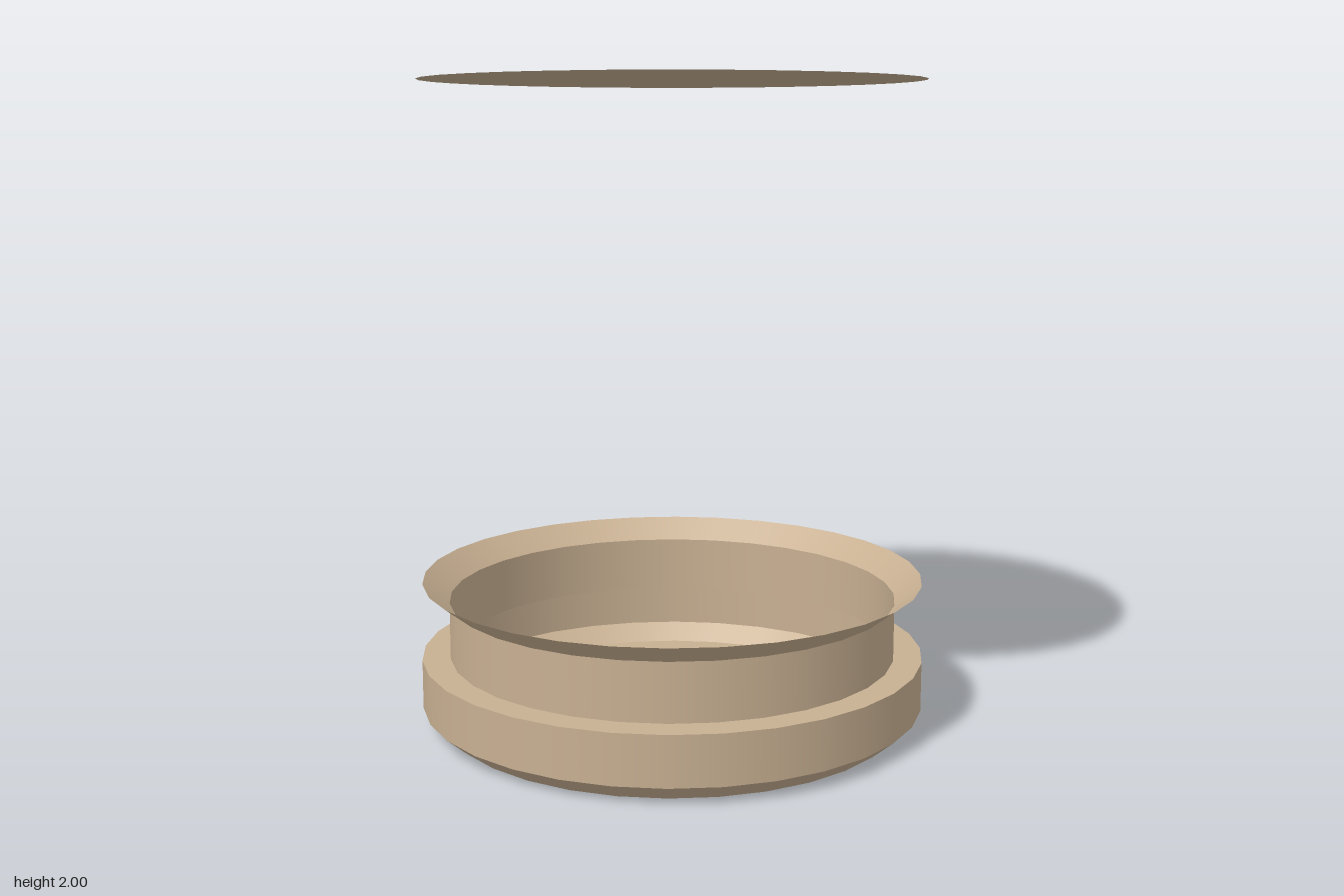
import * as THREE from 'three';

const SIDES = 32;

export function createModel() {
  const model = new THREE.Group();
  const tan = new THREE.MeshStandardMaterial({ color: 0xc8b092, side: THREE.DoubleSide });
  tan.name = 'tan';
  const grey = new THREE.MeshStandardMaterial({ color: 0x999a9c, side: THREE.DoubleSide });
  grey.name = 'grey';

  const add = (name, geometry, material, y = 0) => {
    const mesh = new THREE.Mesh(geometry, material);
    mesh.name = name;
    mesh.position.y = y;
    model.add(mesh);
    return mesh;
  };

  // Thin-walled dish: open bands, each smooth around and sharp at its rims
  const band = (name, r0, y0, r1, y1) =>
    add(name, new THREE.CylinderGeometry(r1, r0, y1 - y0, SIDES, 1, true), tan, (y0 + y1) / 2);
  band('bottomBevel', 0.73, 0, 0.795, 0.055);
  band('baseWall', 0.795, 0.055, 0.795, 0.21);
  band('neckWall', 0.707, 0.21, 0.707, 0.39);
  band('flaredRim', 0.707, 0.39, 0.79, 0.455);

  // Flat ring between base and neck
  add('ledge', new THREE.RingGeometry(0.707, 0.795, SIDES).rotateX(-Math.PI / 2), tan, 0.21);

  // Floor of the dish, just above the underside of the patch
  add('floor', new THREE.CircleGeometry(0.73, SIDES).rotateX(-Math.PI / 2), tan, 0.002);

  // Irregular patch showing on both faces of the floor; its tip points to +x +z
  const outline = [
    [-0.36, 0.08], [-0.27, -0.08], [-0.13, -0.2], [0, -0.26], [0.1, -0.28],
    [0.2, -0.25], [0.26, -0.16], [0.28, 0], [0.24, 0.15], [0.17, 0.24],
    [0.07, 0.3], [-0.07, 0.3], [-0.2, 0.27], [-0.32, 0.16],
  ].map(([u, v]) => new THREE.Vector2((-u - v) * Math.SQRT1_2, (u - v) * Math.SQRT1_2));
  const patch = new THREE.ExtrudeGeometry(new THREE.Shape(outline), { depth: 0.004, bevelEnabled: false });
  add('floorPatch', patch.rotateX(-Math.PI / 2), grey);

  // Lid disc hovering far above the dish
  add('lid', new THREE.CircleGeometry(0.775, SIDES).rotateX(-Math.PI / 2), tan, 2);

  return model;
}
